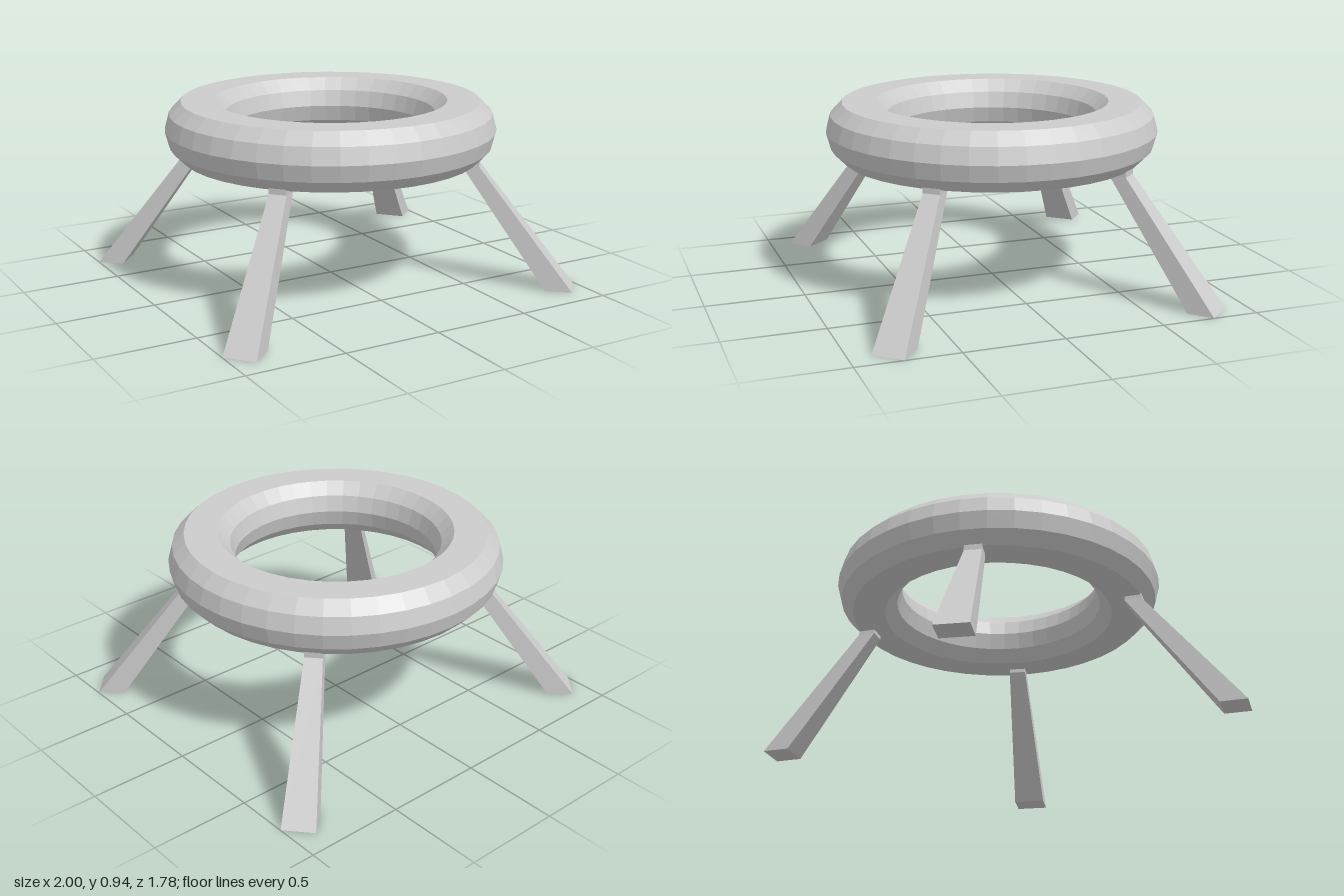
import * as THREE from 'three';

const material = new THREE.MeshStandardMaterial({ color: 0xcccccc, flatShading: true, roughness: 0.8 });

// Leg cross-sections: height, inner and outer radius, width
const SECTIONS = [
  { y: 0, inner: 1.123, outer: 1.258, width: 0.163 },
  { y: 0.625, inner: 0.68, outer: 0.767, width: 0.088 },
  { y: 0.7, inner: 0.68, outer: 0.767, width: 0.088 },
];

// Splayed, tapering leg that leans along +x, with a short upright top
function legGeometry() {
  const geometry = new THREE.BoxGeometry(1, 2, 1, 1, 2, 1);
  const p = geometry.attributes.position;
  for (let i = 0; i < p.count; i++) {
    const s = SECTIONS[Math.round(p.getY(i) + 1)];
    p.setXYZ(i, p.getX(i) > 0 ? s.outer : s.inner, s.y, p.getZ(i) * s.width);
  }
  geometry.computeVertexNormals();
  return geometry;
}

// Ring with a rounded section and flat top and bottom
function ringGeometry() {
  const centre = 0.6775, tube = 0.1675, y = 0.79;
  const profile = [];
  for (let i = 0; i <= 12; i++) {
    const k = i - 2;
    if (k === 3 || k === 9) continue; // leaves the flats
    const a = (k * Math.PI) / 6;
    profile.push(new THREE.Vector2(centre + tube * Math.cos(a), y + tube * Math.sin(a)));
  }
  return new THREE.LatheGeometry(profile, 40);
}

export function createModel() {
  const model = new THREE.Group();
  model.name = 'ringStand';

  const ring = new THREE.Mesh(ringGeometry(), material);
  ring.name = 'ring';
  model.add(ring);

  // Four legs, mirrored across both axes
  const geometry = legGeometry();
  const splay = THREE.MathUtils.degToRad(41.3);
  const angles = {
    frontLeftLeg: -splay,
    backLeftLeg: splay,
    frontRightLeg: Math.PI + splay,
    backRightLeg: Math.PI - splay,
  };
  for (const [name, angle] of Object.entries(angles)) {
    const leg = new THREE.Mesh(geometry, material);
    leg.name = name;
    leg.rotation.y = angle;
    model.add(leg);
  }
  return model;
}
